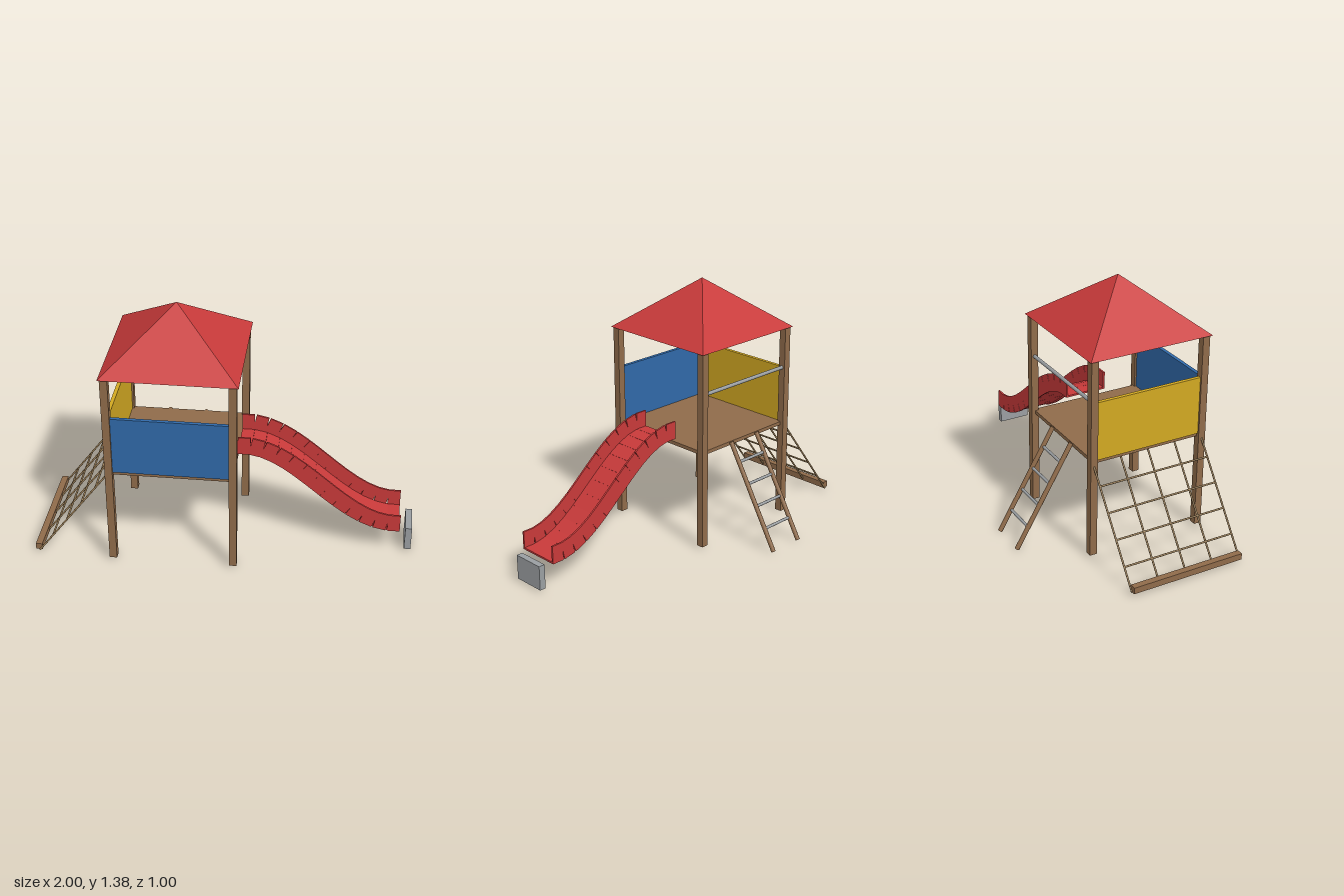
import * as THREE from 'three';

const paint = (name, color, extra = {}) => {
  const m = new THREE.MeshStandardMaterial({ color, ...extra });
  m.name = name;
  return m;
};

export function createModel() {
  const wood = paint('wood', 0x8f6b4a);
  const red = paint('red', 0xc83a3a, { flatShading: true });
  const blue = paint('blue', 0x3069a8);
  const yellow = paint('yellow', 0xd2a822);
  const metal = paint('grey metal', 0x9a9ea1);
  const rope = paint('rope', 0x9c8058);

  const model = new THREE.Group();
  model.name = 'playTower';
  const CX = -0.255, CZ = 0.15, HALF = 0.32; // tower centre and post spacing

  const group = (name) => {
    const g = new THREE.Group();
    g.name = name;
    model.add(g);
    return g;
  };
  const box = (parent, name, mat, size, pos) => {
    const m = new THREE.Mesh(new THREE.BoxGeometry(...size), mat);
    m.name = name;
    m.position.set(...pos);
    parent.add(m);
    return m;
  };
  // Round bar between two points
  const bar = (parent, name, mat, r, a, b) => {
    const from = new THREE.Vector3(...a), to = new THREE.Vector3(...b);
    const dir = to.clone().sub(from);
    const m = new THREE.Mesh(new THREE.CylinderGeometry(r, r, dir.length(), 12), mat);
    m.name = name;
    m.position.copy(from).add(to).multiplyScalar(0.5);
    m.quaternion.setFromUnitVectors(new THREE.Vector3(0, 1, 0), dir.normalize());
    parent.add(m);
  };

  // Tower: posts, deck, side panels, back rail
  const tower = group('tower');
  for (const sx of [-1, 1])
    for (const sz of [-1, 1])
      box(tower, 'post', wood, [0.04, 1.1, 0.04], [CX + sx * HALF, 0.56, CZ + sz * HALF]);
  box(tower, 'deck', wood, [0.64, 0.02, 0.64], [CX, 0.545, CZ]);
  box(tower, 'frontPanel', blue, [0.6, 0.32, 0.02], [CX, 0.715, CZ + HALF]);
  box(tower, 'sidePanel', yellow, [0.02, 0.32, 0.6], [CX - HALF, 0.715, CZ]);
  bar(tower, 'backRail', metal, 0.01, [CX - HALF, 0.875, CZ - HALF], [CX + HALF, 0.875, CZ - HALF]);

  // Pyramid roof
  const roof = new THREE.Mesh(
    new THREE.ConeGeometry(0.35 * Math.SQRT2, 0.275, 4).rotateY(Math.PI / 4), red);
  roof.name = 'roof';
  roof.position.set(CX, 1.2425, CZ);
  model.add(roof);

  // Ladder leaning on the back
  const ladder = group('ladder');
  const rungHeights = [0.12, 0.23, 0.34, 0.45];
  const ladderZ = (y) => -0.49 + (y - 0.0065) * 0.588;
  for (const s of [-1, 1])
    bar(ladder, 'ladderRail', wood, 0.0125,
      [CX + s * 0.1, 0.0065, ladderZ(0.0065)], [CX + s * 0.1, 0.55, ladderZ(0.55)]);
  for (const y of rungHeights)
    bar(ladder, 'rung', metal, 0.008, [CX - 0.1, y, ladderZ(y)], [CX + 0.1, y, ladderZ(y)]);

  // Climbing net with a ground beam
  const net = group('climbingNet');
  const netX = (y) => -0.98 + (y - 0.01) * 0.752;
  box(net, 'groundBeam', wood, [0.035, 0.035, 0.64], [-0.9825, 0.0325, CZ]);
  for (let i = 0; i < 5; i++) {
    const z = CZ - HALF + i * 0.16;
    bar(net, 'longRope', rope, 0.005, [netX(0.012), 0.012, z], [netX(0.54), 0.54, z]);
  }
  for (const y of rungHeights)
    bar(net, 'crossRope', rope, 0.005, [netX(y - 0.005), y - 0.005, CZ - HALF],
      [netX(y - 0.005), y - 0.005, CZ + HALF]);

  // Slide: straight segments set along a cosine slope
  const slide = group('slide');
  const STEPS = 12, RUN = 0.8, DROP = 0.43;
  for (let i = 0; i <= STEPS; i++) {
    const t = i / STEPS;
    const x = 0.1 + RUN * t;
    const y = 0.15 + DROP * (0.5 + 0.5 * Math.cos(Math.PI * t));
    const angle = Math.atan(-DROP * Math.PI / 2 / RUN * Math.sin(Math.PI * t));
    const len = RUN / STEPS / Math.cos(angle);
    box(slide, 'slideBed', red, [len, 0.01, 0.23], [x, y, CZ]).rotation.z = angle;
    for (const s of [-1, 1])
      box(slide, 'slideWall', red, [len, 0.1, 0.01], [x, y + 0.045, CZ + s * 0.115]).rotation.z = angle;
  }

  // Block at the foot of the slide
  box(model, 'endBlock', metal, [0.035, 0.135, 0.18], [0.9825, 0.0775, CZ]);

  return model;
}
